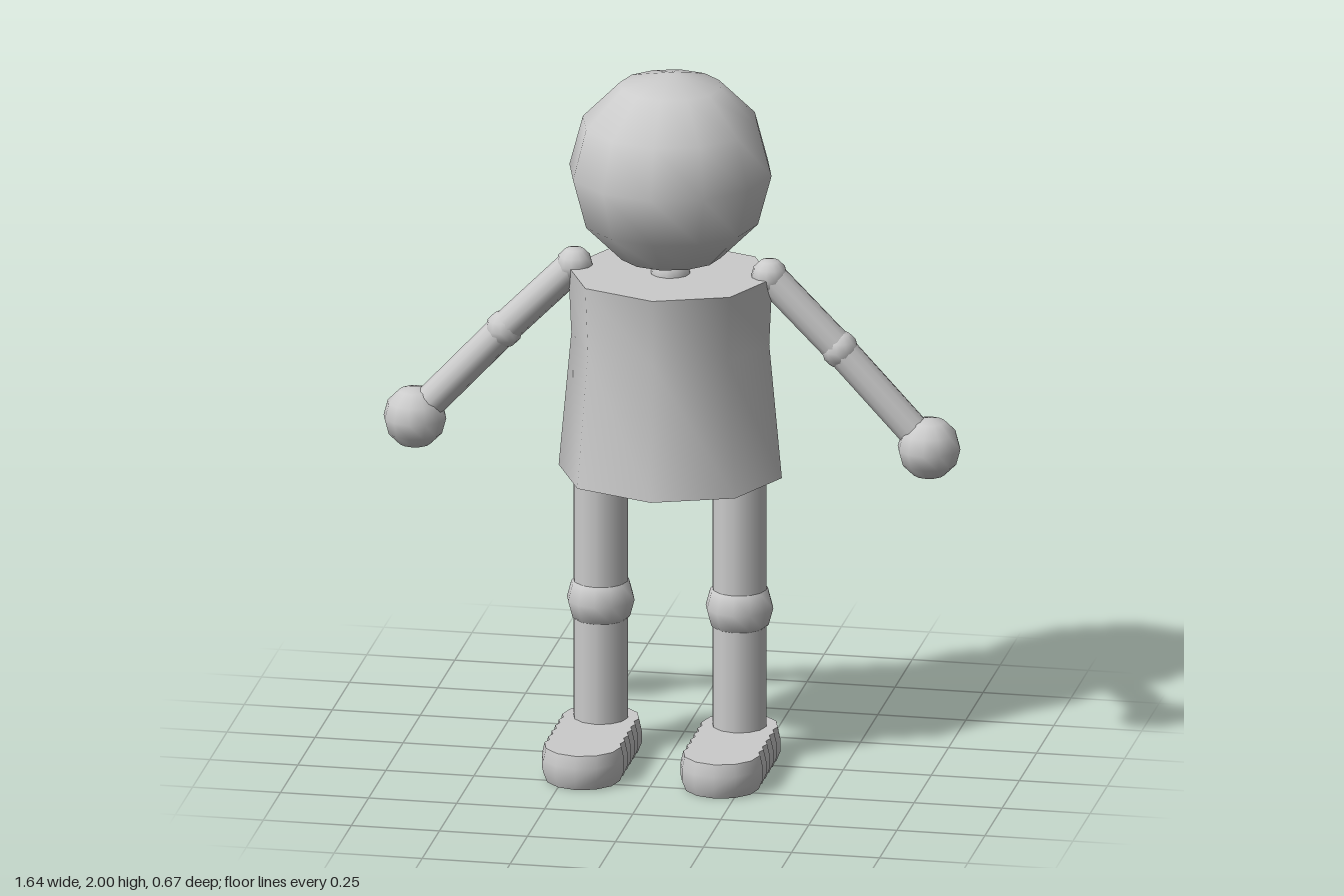
import * as THREE from 'three';
import { toCreasedNormals } from 'three/addons/utils/BufferGeometryUtils.js';

const material = new THREE.MeshStandardMaterial({ color: 0xcccccc });

function add(parent, name, geometry, x = 0, y = 0, z = 0) {
  const mesh = new THREE.Mesh(geometry, material);
  mesh.name = name;
  mesh.position.set(x, y, z);
  parent.add(mesh);
  return mesh;
}

const ball = (r, sides = 12, rings = 6) => new THREE.SphereGeometry(r, sides, rings);

// Straight cylinder between two points
function limb(parent, name, a, b, r) {
  const dir = b.clone().sub(a);
  const mid = a.clone().add(b).multiplyScalar(0.5);
  const mesh = add(parent, name, new THREE.CylinderGeometry(r, r, dir.length(), 12), mid.x, mid.y, mid.z);
  mesh.quaternion.setFromUnitVectors(new THREE.Vector3(0, 1, 0), dir.normalize());
}

// Rounded-end foot with scalloped sides, lofted from scaled outlines
function footGeometry() {
  const back = -0.04, front = 0.215, bumps = 5, arc = 6;
  const outline = []; // [direction x, direction z, spine z]
  const addArc = (start, z) => {
    for (let i = 0; i <= arc; i++) {
      const t = start + (Math.PI * i) / arc;
      outline.push([Math.cos(t), -Math.sin(t), z]);
    }
  };
  const addSide = (side, from, to) => {
    for (let i = 1; i < bumps * 2; i++) {
      outline.push([side * (i % 2 ? 0.92 : 1), 0, from + ((to - from) * i) / (bumps * 2)]);
    }
  };
  addArc(0, back);
  addSide(-1, back, front);
  addArc(Math.PI, front);
  addSide(1, front, back);

  const rows = [[0, 0.105], [0.03, 0.117], [0.065, 0.117], [0.1, 0.109]];
  const n = outline.length, pos = [], idx = [];
  for (const [y, r] of rows) {
    for (const [dx, dz, z] of outline) pos.push(dx * r, y, z + dz * r);
  }
  const bottom = n * rows.length, top = bottom + 1, last = n * (rows.length - 1);
  pos.push(0, 0, 0.09, 0, 0.1, 0.09);
  for (let i = 0; i < n; i++) {
    const k = (i + 1) % n;
    for (let j = 0; j < rows.length - 1; j++) {
      const a = j * n + i, b = j * n + k;
      idx.push(a, b, b + n, a, b + n, a + n);
    }
    idx.push(bottom, k, i, top, last + i, last + k);
  }
  const g = new THREE.BufferGeometry();
  g.setAttribute('position', new THREE.Float32BufferAttribute(pos, 3));
  g.setIndex(idx);
  return toCreasedNormals(g, 0.9);
}

export function createModel() {
  const model = new THREE.Group();
  model.name = 'figure';

  add(model, 'head', ball(0.287), 0, 1.713, -0.048);
  add(model, 'neck', ball(0.057), 0, 1.41, -0.048);

  // Eight-sided torso with a slight waist, a little flatter front to back
  const profile = [[0, 0.83], [0.317, 0.83], [0.281, 1.22], [0.29, 1.413], [0, 1.413]]
    .map(([r, y]) => new THREE.Vector2(r, y));
  const torso = new THREE.LatheGeometry(profile, 8);
  torso.scale(1, 1, 0.905);
  add(model, 'torso', toCreasedNormals(torso, 1.05), 0, 0, -0.045);

  for (const [side, label] of [[1, 'left'], [-1, 'right']]) {
    // Arm
    const arm = new THREE.Group();
    arm.name = label + 'Arm';
    const shoulder = new THREE.Vector3(side * 0.277, 1.412, -0.07);
    const elbow = new THREE.Vector3(side * 0.477, 1.21, -0.07);
    const hand = new THREE.Vector3(side * 0.73, 0.937, -0.07);
    add(arm, 'shoulder', ball(0.052), ...shoulder);
    limb(arm, 'upperArm', shoulder, elbow, 0.046);
    add(arm, 'elbow', ball(0.053), ...elbow);
    limb(arm, 'forearm', elbow, hand, 0.046);
    add(arm, 'hand', ball(0.089), ...hand);
    model.add(arm);

    // Leg
    const leg = new THREE.Group();
    leg.name = label + 'Leg';
    const x = side * 0.197, z = -0.043;
    const knee = new THREE.Vector3(x, 0.447, z);
    limb(leg, 'thigh', new THREE.Vector3(x, 0.85, z), knee, 0.077);
    add(leg, 'knee', ball(0.096), ...knee);
    limb(leg, 'shin', knee, new THREE.Vector3(x, 0.06, z), 0.077);
    add(leg, 'foot', footGeometry(), x, 0, 0);
    model.add(leg);
  }
  return model;
}
